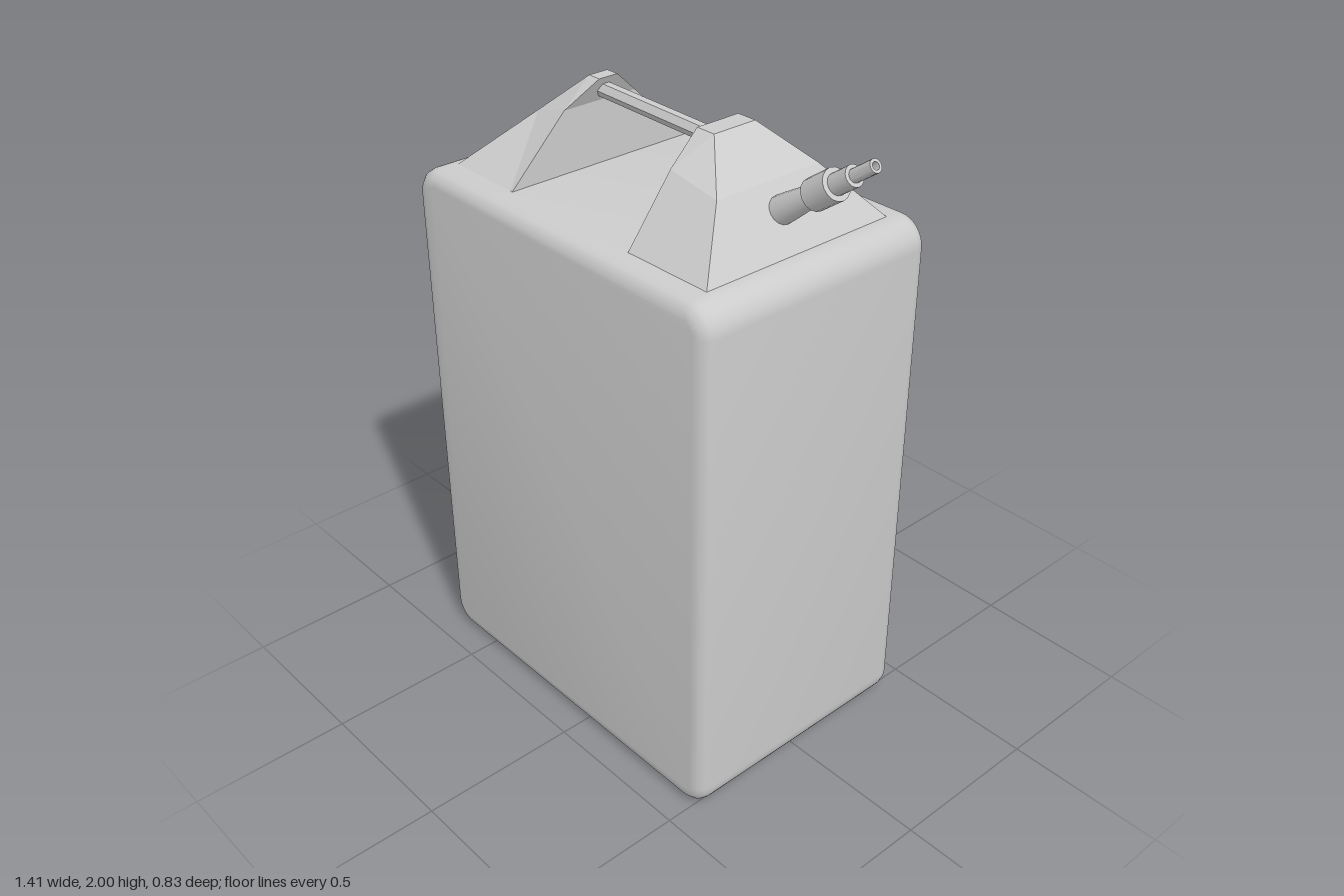
import * as THREE from 'three';
import { toCreasedNormals } from 'three/addons/utils/BufferGeometryUtils.js';

const grey = new THREE.MeshStandardMaterial({ color: 0xcccccc });
const flatGrey = new THREE.MeshStandardMaterial({ color: 0xcccccc, flatShading: true });

function part(name, geometry, material) {
  const mesh = new THREE.Mesh(geometry, material);
  mesh.name = name;
  return mesh;
}

function roundedRect(x0, y0, x1, y1, r) {
  const s = new THREE.Shape();
  s.absarc(x1 - r, y0 + r, r, -Math.PI / 2, 0);
  s.absarc(x1 - r, y1 - r, r, 0, Math.PI / 2);
  s.absarc(x0 + r, y1 - r, r, Math.PI / 2, Math.PI);
  s.absarc(x0 + r, y0 + r, r, Math.PI, Math.PI * 1.5);
  s.closePath();
  return s;
}

// Four-sided tower lofted through levels of [innerX, innerY, outerX, outerY, halfDepth]
function towerGeometry(levels) {
  const rings = levels.map(([ix, iy, ox, oy, z]) =>
    [[ix, iy, z], [ox, oy, z], [ox, oy, -z], [ix, iy, -z]]);
  const flip = levels[0][2] < levels[0][0];
  const pos = [];
  const quad = (a, b, c, d) => {
    const order = flip ? [a, c, b, a, d, c] : [a, b, c, a, c, d];
    order.forEach(p => pos.push(...p));
  };
  for (let i = 0; i < rings.length - 1; i++) {
    for (let k = 0; k < 4; k++) {
      const n = (k + 1) % 4;
      quad(rings[i][k], rings[i][n], rings[i + 1][n], rings[i + 1][k]);
    }
  }
  quad(...rings[rings.length - 1]);
  quad(...rings[0].slice().reverse());
  const g = new THREE.BufferGeometry();
  g.setAttribute('position', new THREE.Float32BufferAttribute(pos, 3));
  g.computeVertexNormals();
  return g;
}

// Turns a +y aligned geometry so that it starts at one point and heads to another
function aim(mesh, from, to) {
  mesh.position.copy(from);
  mesh.quaternion.setFromUnitVectors(new THREE.Vector3(0, 1, 0), to.clone().sub(from).normalize());
  return mesh;
}

export function createModel() {
  const model = new THREE.Group();
  model.name = 'jerryCan';

  // Can body with rounded corners and softened front and back rims
  const bevel = 0.045;
  const body = new THREE.ExtrudeGeometry(roundedRect(-0.705, 0, 0.545, 1.675, 0.085), {
    depth: 0.83 - 2 * bevel, bevelThickness: bevel, bevelSize: bevel,
    bevelOffset: -bevel, bevelSegments: 3, curveSegments: 5,
  });
  body.translate(0, 0, -0.415 + bevel);
  model.add(part('body', toCreasedNormals(body, 0.8), grey));

  // Handle supports
  model.add(part('rightHandleSupport', towerGeometry([
    [-0.35, 1.66, -0.63, 1.66, 0.34],
    [-0.35, 1.865, -0.47, 1.835, 0.13],
    [-0.31, 1.945, -0.355, 1.945, 0.033],
  ]), flatGrey));
  model.add(part('leftHandleSupport', towerGeometry([
    [0.16, 1.66, 0.47, 1.66, 0.345],
    [0.16, 1.865, 0.335, 1.835, 0.185],
    [0.14, 1.945, 0.205, 1.945, 0.074],
  ]), flatGrey));

  // Grip bar between the supports
  const from = new THREE.Vector3(-0.34, 1.902, 0);
  const to = new THREE.Vector3(0.17, 1.893, 0);
  const length = from.distanceTo(to);
  const bar = new THREE.CylinderGeometry(0.024, 0.024, length, 6);
  bar.translate(0, length / 2, 0);
  model.add(aim(part('gripBar', bar, flatGrey), from, to));

  // Stepped pouring spout with a hollow tip
  const profile = [
    [0, 0], [0.041, 0], [0.039, 0.04], [0.029, 0.145], [0.045, 0.145], [0.045, 0.235],
    [0.03, 0.235], [0.03, 0.305], [0.019, 0.305], [0.019, 0.385], [0.011, 0.385], [0.011, 0.33], [0, 0.33],
  ].map(([r, y]) => new THREE.Vector2(r, y));
  const spout = toCreasedNormals(new THREE.LatheGeometry(profile, 16), 0.7);
  model.add(aim(part('spout', spout, grey),
    new THREE.Vector3(0.378, 1.766, 0), new THREE.Vector3(0.69, 1.988, 0)));

  return model;
}
